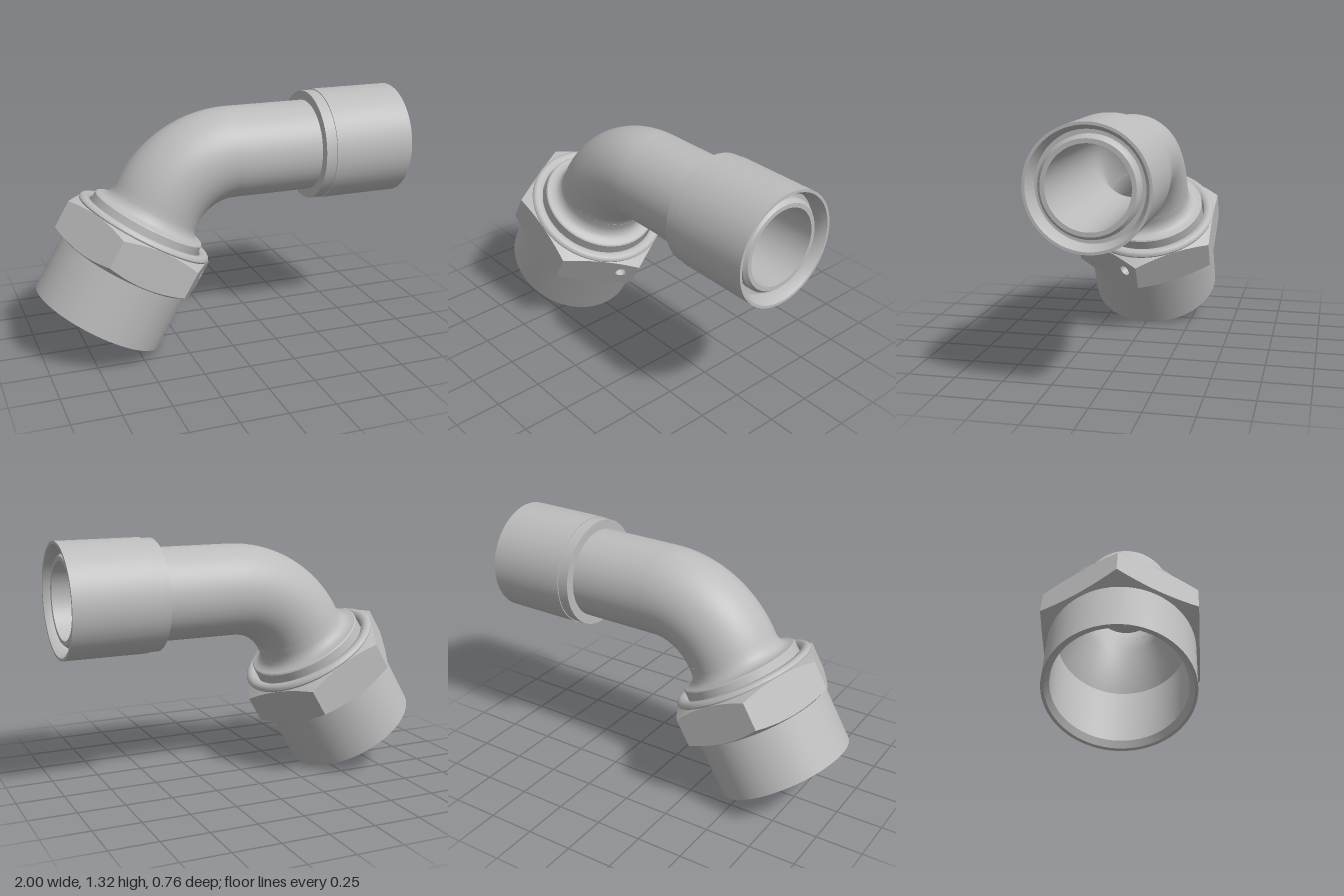
import * as THREE from 'three';
import { toCreasedNormals } from 'three/addons/utils/BufferGeometryUtils.js';

const SEG = 72;
const APOTHEM = 0.38;                  // hex nut, centre to flat
const HALF_SIDE = APOTHEM * Math.tan(Math.PI / 6);
const AXIS_Y = 1.02;                   // height of the straight pipe
const BEND = { x: 0.063, radius: 0.46, angle: Math.PI / 3 };

// Heights of the chamfer cones that trim the hex corners
const chamferBottom = r => 0.318 + (r - 0.364) * 0.5;
const chamferTop = r => 0.506 + (0.439 - r) * 0.45;

export function createModel() {
  const model = new THREE.Group();
  model.name = 'pipeElbowFitting';
  const steel = new THREE.MeshStandardMaterial({ color: 0xbcbcbc, side: THREE.DoubleSide });
  steel.name = 'steel grey';

  const add = (parent, name, geometry) => {
    const mesh = new THREE.Mesh(geometry, steel);
    mesh.name = name;
    parent.add(mesh);
    return mesh;
  };
  // Revolved profile of [radius, height] pairs, edges kept sharp
  const turned = points => toCreasedNormals(
    new THREE.LatheGeometry(points.map(p => new THREE.Vector2(p[0], p[1])), SEG), 0.6);

  // Straight pipe and end collar, turned about x
  const outlet = new THREE.Group();
  outlet.name = 'outlet';
  outlet.position.y = AXIS_Y;
  outlet.rotation.z = -Math.PI / 2;
  model.add(outlet);
  add(outlet, 'straightPipe', turned([
    [0.243, BEND.x], [0.243, 0.9], [0.238, 0.9], [0.238, 0.955], [0.222, 0.975],
    [0.2, 0.975], [0.2, BEND.x]]));
  add(outlet, 'endCollar', turned([
    [0.24, 0.5], [0.293, 0.5], [0.293, 0.56], [0.298, 0.56], [0.298, 1],
    [0.284, 1], [0.262, 0.96], [0.262, 0.92], [0.237, 0.92]]));

  // Sixty degree bend, outer wall and bore
  for (const [name, radius] of [['bendWall', 0.243], ['bendBore', 0.2]]) {
    const bend = add(model, name,
      new THREE.TorusGeometry(BEND.radius, radius, SEG, 40, BEND.angle));
    bend.position.set(BEND.x, AXIS_Y - BEND.radius, 0);
    bend.rotation.z = Math.PI / 2;
  }

  // Tilted inlet, turned about its own y axis
  const inlet = new THREE.Group();
  inlet.name = 'inlet';
  inlet.position.set(-0.685, 0.183, 0);
  inlet.rotation.z = -Math.PI / 6;
  model.add(inlet);
  add(inlet, 'flaredTail', turned([
    [0.322, 0.4], [0.316, 0.56], [0.316, 0.595], [0.31, 0.601], [0.29, 0.604], [0.272, 0.61],
    [0.258, 0.622], [0.247, 0.642], [0.243, 0.665], [0.243, 0.701],
    [0.2, 0.701], [0.2, 0.6], [0.322, 0.4]]));
  add(inlet, 'nutSleeve', turned([
    [0.325, 0.03], [0.348, 0], [0.364, 0], [0.364, 0.34], [0.335, 0.36], [0.335, 0.5],
    [0.37, 0.52], [0.378, 0.53], [0.382, 0.541], [0.378, 0.552], [0.368, 0.56],
    [0.355, 0.562], [0.338, 0.56], [0.327, 0.551], [0.325, 0.54], [0.325, 0.03]]));

  // Hex nut: conical chamfers trimmed to the hexagon
  const hexRadius = theta => {
    const sector = Math.PI / 3;
    return APOTHEM / Math.cos(theta - Math.round(theta / sector) * sector);
  };
  const chamfer = (innerRadius, heightAt) => {
    const geometry = new THREE.LatheGeometry(
      [new THREE.Vector2(innerRadius, 0), new THREE.Vector2(1, 0)], SEG);
    const pos = geometry.attributes.position;
    for (let i = 0; i < pos.count; i++) {
      const theta = Math.atan2(pos.getX(i), pos.getZ(i));
      const r = Math.min(Math.hypot(pos.getX(i), pos.getZ(i)), hexRadius(theta));
      pos.setXYZ(i, r * Math.sin(theta), heightAt(r), r * Math.cos(theta));
    }
    return toCreasedNormals(geometry, 0.6);
  };
  add(inlet, 'nutLowerChamfer', chamfer(0.362, chamferBottom));
  add(inlet, 'nutUpperChamfer', chamfer(0.365, chamferTop));

  // Hex flats with curved ends; one flat carries the locking hole
  const hole = { u: 0.133, t: 0.445, radius: 0.031, depth: 0.045 };
  const STEPS = 12;
  for (let k = 0; k < 6; k++) {
    const outline = [];
    for (const [dir, heightAt] of [[1, chamferBottom], [-1, chamferTop]]) {
      for (let i = 0; i <= STEPS; i++) {
        // Equal angles, so the edges meet the chamfer vertices
        const u = APOTHEM * Math.tan(dir * (i / STEPS - 0.5) * Math.PI / 3);
        outline.push(new THREE.Vector2(u, heightAt(Math.hypot(APOTHEM, u))));
      }
    }
    const shape = new THREE.Shape(outline);
    const flat = new THREE.Group();
    flat.name = 'nutSide' + (k + 1);
    flat.rotation.y = k * Math.PI / 3;
    inlet.add(flat);
    if (k === 1) {
      shape.holes.push(new THREE.Path().absarc(hole.u, hole.t, hole.radius, 0, Math.PI * 2, true));
      const wall = add(flat, 'lockingHoleWall',
        new THREE.CylinderGeometry(hole.radius, hole.radius, hole.depth, 24, 1, true));
      wall.rotation.x = Math.PI / 2;
      wall.position.set(hole.u, hole.t, APOTHEM - hole.depth / 2);
      add(flat, 'lockingHoleFloor', new THREE.CircleGeometry(hole.radius, 24))
        .position.set(hole.u, hole.t, APOTHEM - hole.depth);
    }
    add(flat, 'nutFlat', new THREE.ShapeGeometry(shape, 24)).position.z = APOTHEM;
  }

  return model;
}
